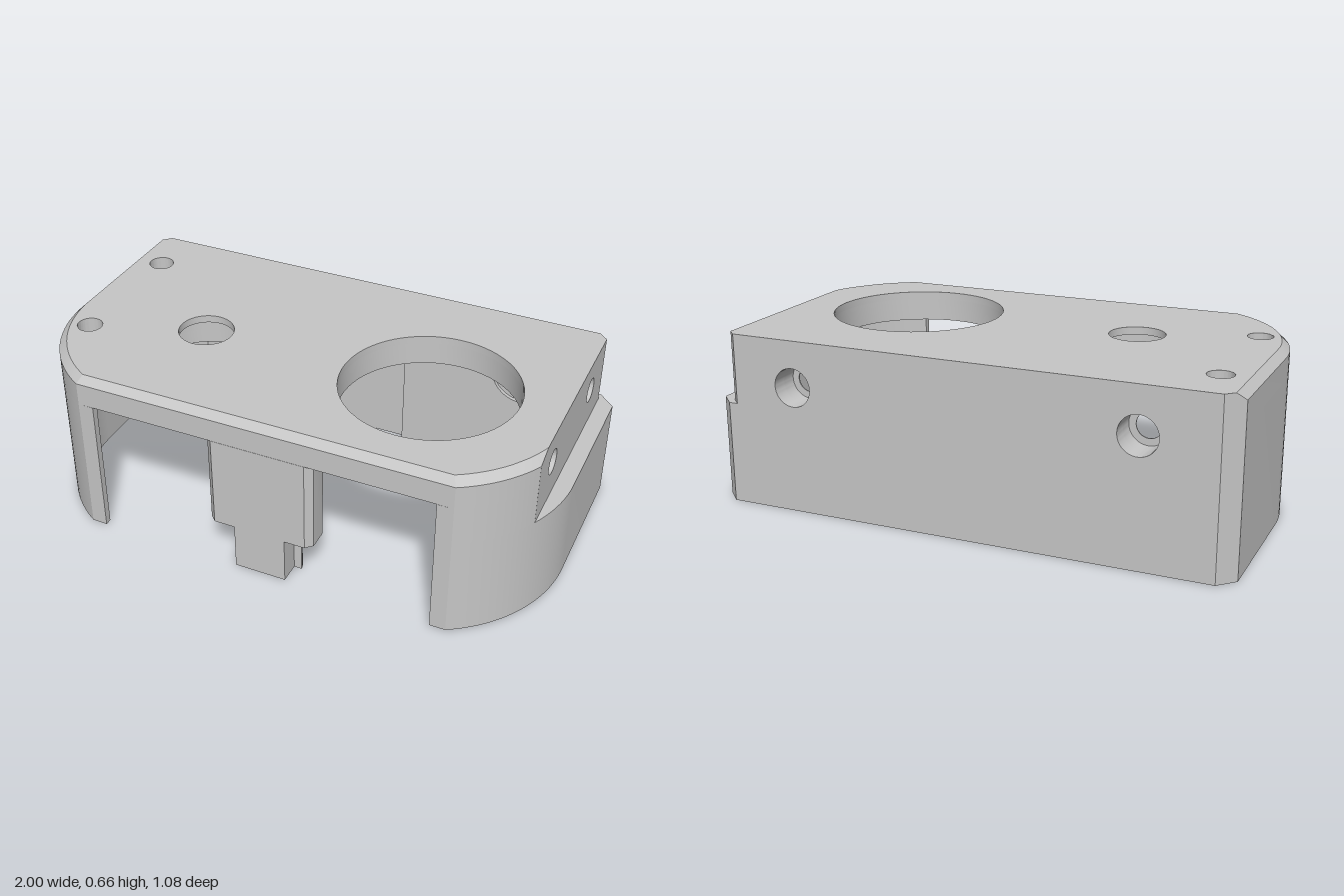
import * as THREE from 'three';
import { toCreasedNormals } from 'three/addons/utils/BufferGeometryUtils.js';

const CX = 0.45, CZ = 0.055, R = 0.55, H = 0.657, BEVEL = 0.628, CEIL = 0.54;
const W = 0.79, BACK = -0.48, DIAG = 1.115;
const bodyGrey = new THREE.MeshStandardMaterial({ color: 0xc6c6c6 });
bodyGrey.name = 'body grey';

// Shape from [a, b] points with round holes [a, b, radius]
function makeShape(pts, holes = []) {
  const v = pts.map(([a, b]) => new THREE.Vector2(a, b));
  if (THREE.ShapeUtils.isClockWise(v)) v.reverse();
  const s = new THREE.Shape(v);
  for (const [a, b, r] of holes) {
    const h = new THREE.Path();
    h.absarc(a, b, r, 0, Math.PI * 2, true);
    s.holes.push(h);
  }
  return s;
}

function extrude(shape, depth) {
  return new THREE.ExtrudeGeometry(shape, { depth, bevelEnabled: false, curveSegments: 32 });
}

// Prism standing on a plan of [x, z] points
function upright(pts, y0, y1, holes = []) {
  const s = makeShape(pts.map(([x, z]) => [x, -z]), holes.map(([x, z, r]) => [x, -z, r]));
  return extrude(s, y1 - y0).rotateX(-Math.PI / 2).translate(0, y0, 0);
}

// Upright tube
function tube(x, z, rOut, rIn, y0, y1) {
  const s = new THREE.Shape().absarc(x, -z, rOut, 0, Math.PI * 2);
  s.holes.push(new THREE.Path().absarc(x, -z, rIn, 0, Math.PI * 2, true));
  return extrude(s, y1 - y0).rotateX(-Math.PI / 2).translate(0, y0, 0);
}

// Prism whose top plan differs from its bottom plan
function tapered(bottom, top, y0, y1) {
  const g = upright(bottom, y0, y1), p = g.attributes.position;
  for (let i = 0; i < p.count; i++) {
    if (p.getY(i) < y1 - 0.001) continue;
    const k = bottom.findIndex(([x, z]) => Math.hypot(x - p.getX(i), z - p.getZ(i)) < 0.001);
    p.setXYZ(i, top[k][0], y1, top[k][1]);
  }
  return g;
}

// Points on the corner circle between two x positions
function arc(r, xa, xb, n = 20) {
  const a = Math.acos((xa - CX) / r), b = Math.acos((xb - CX) / r), out = [];
  for (let i = 0; i <= n; i++) {
    const t = a + (b - a) * i / n;
    out.push([CX + r * Math.cos(t), CZ + r * Math.sin(t)]);
  }
  return out;
}

const mirror = (pts) => pts.map(([x, z]) => [-x, z]);

// Plan of a curved side wall with a thick rear corner
function sidePlan(xOut, xIn) {
  return [[W, BACK], [xOut, BACK], ...arc(R, xOut, 0.72), [0.66, 0.535],
    ...arc(0.5, 0.66, xIn), [xIn, xIn - DIAG], [W, W - DIAG]];
}

// Plan of a post: right-hand front points, then a bulging back
function postPlan(frontPts, half, zSide, zBack) {
  const pts = [...frontPts];
  for (let i = 0; i <= 24; i++) {
    const t = Math.PI * i / 24;
    pts.push([half * Math.cos(t), zSide - (zSide - zBack) * Math.sin(t)]);
  }
  return [...pts, ...mirror(frontPts).reverse()];
}

export function createModel() {
  const model = new THREE.Group();
  const add = (name, geo) => {
    const m = new THREE.Mesh(toCreasedNormals(geo, 0.3), bodyGrey);
    m.name = name;
    model.add(m);
  };

  // Side walls; the right one steps inward above y = 0.39
  add('leftWall', upright(mirror(sidePlan(1, 0.95)), 0, CEIL, [[-0.87, -0.4, 0.05]]));
  add('rightWallLower', upright(sidePlan(1, 0.87), 0, 0.39, [[0.87, -0.4, 0.05]]));
  add('rightWallUpper', upright(sidePlan(0.89, 0.87), 0.39, CEIL));
  const gusset = [[DIAG - 0.4, -0.4], [W, -0.4], [W, W - DIAG]];
  add('rightGusset', upright(gusset, 0, 0.36));
  add('leftGusset', upright(mirror(gusset), 0, 0.36));

  // Back wall in layers, giving stepped screw holes and a central inner recess
  const screws = (r) => [[-0.66, 0.48, r], [0.66, 0.48, r]];
  const outer = [[-0.94, 0], [0.94, 0], [0.94, 0.39], [0.905, 0.39], [0.905, H], [-0.94, H]];
  const inner = [[-W, 0], [-0.18, 0], [-0.18, CEIL], [0.18, CEIL], [0.18, 0], [W, 0], [W, H], [-W, H]];
  add('backWallOuter', extrude(makeShape(outer, screws(0.073)), 0.06).translate(0, 0, -0.54));
  for (const [z, depth, r] of [[BACK, 0.06, 0.073], [-0.42, 0.005, 0.047], [-0.415, 0.015, 0.12]]) {
    add('backWallInner', extrude(makeShape(inner, screws(r)), depth).translate(0, 0, z));
  }

  // Bevelled rear corners
  const corner = [[-0.94, -0.54], [-0.97, -0.51], [-1, BACK], [-0.94, BACK]];
  const cornerTop = [[-0.94, -0.54], [-0.97, -0.51], [-0.97, BACK], [-0.94, BACK]];
  add('leftRearCorner', upright(corner, 0, BEVEL));
  add('leftRearCornerTop', tapered(corner, cornerTop, BEVEL, H));
  add('rightRearCornerLower', upright(mirror(corner), 0, 0.39));
  add('rightRearCornerUpper', upright(
    [[0.905, -0.54], [0.937, -0.508], [0.937, BACK], [0.905, BACK]], 0.39, H));

  // Recessed right face with two stepped screw holes
  const facePts = [[-0.311, 0.39], [-BACK, 0.39], [-BACK, H], [-0.237, H], [-0.311, BEVEL]];
  for (const [x, depth, r] of [[0.89, 0.003, 0.032], [0.893, 0.044, 0.047]]) {
    const face = makeShape(facePts, [[-0.15, 0.538, r], [0.33, 0.538, r]]);
    add('rightFacePlate', extrude(face, depth).rotateY(Math.PI / 2).translate(x, 0, 0));
  }
  const fill = [[0.89, 0.3], ...arc(R, 0.937, 0.89, 6)];
  add('rightFaceFill', upright(fill, 0.39, BEVEL));
  add('rightFaceFillTop', tapered(fill, [[0.89, 0.22], ...arc(0.52, 0.937, 0.89, 6)], BEVEL, H));

  // Roof with a large opening, and a wide recess under the small one
  const roof = [[-1, BACK], [-W, BACK], [-W, -0.4], [W, -0.4], [W, BACK], [0.89, BACK],
    ...arc(R, 0.89, 0.72), ...mirror(arc(R, 1, 0.72)).reverse()];
  const topScrews = [[-0.87, 0.205, 0.048], [-0.87, -0.33, 0.048]];
  add('roof', upright(roof, CEIL, BEVEL, [[CX, CZ, 0.33], [-CX, CZ, 0.2], ...topScrews]));

  // Stepped floors of the roof screw holes
  for (const [x, z, r] of topScrews) {
    add('screwHoleFloor', new THREE.CylinderGeometry(r, r, 0.03, 32).translate(x, CEIL + 0.015, z));
    add('screwHoleStep', tube(x, z, r, 0.032, CEIL + 0.03, CEIL + 0.04));
  }

  // Top layer, bevelled along the front, curves and left side
  const cap = upright(roof, BEVEL, H, [[CX, CZ, 0.33], [-CX, CZ, 0.105], ...topScrews]);
  const p = cap.attributes.position;
  for (let i = 0; i < p.count; i++) {
    if (p.getY(i) < H - 0.001) continue;
    const x = p.getX(i), z = p.getZ(i), side = Math.sign(x);
    const dx = Math.abs(x) - CX, dz = z - CZ;
    if (Math.abs(x - 0.89) < 0.001 && z > 0) p.setZ(i, 0.332);
    else if (dz > -0.001 && Math.abs(Math.hypot(dx, dz) - R) < 0.003) {
      const k = 0.52 / R;
      p.setX(i, side * (CX + dx * k));
      p.setZ(i, CZ + dz * k);
    } else if (x < -0.999) p.setX(i, -0.97);
  }
  add('roofCap', cap);

  // Collar hanging around the small opening
  add('ceilingCollar', tube(-CX, CZ, 0.25, 0.2, 0.483, CEIL));

  // Stepped centre post with a screw hole from below
  add('postUpper', upright(postPlan([[0.18, 0.535], [0.205, 0.51]], 0.205, 0.44, 0.36), 0.18, CEIL));
  add('postLower', upright(postPlan([[0.1, 0.535], [0.1, 0.455]], 0.13, 0.455, 0.38), 0, 0.18,
    [[0, 0.455, 0.05]]));

  return model;
}
